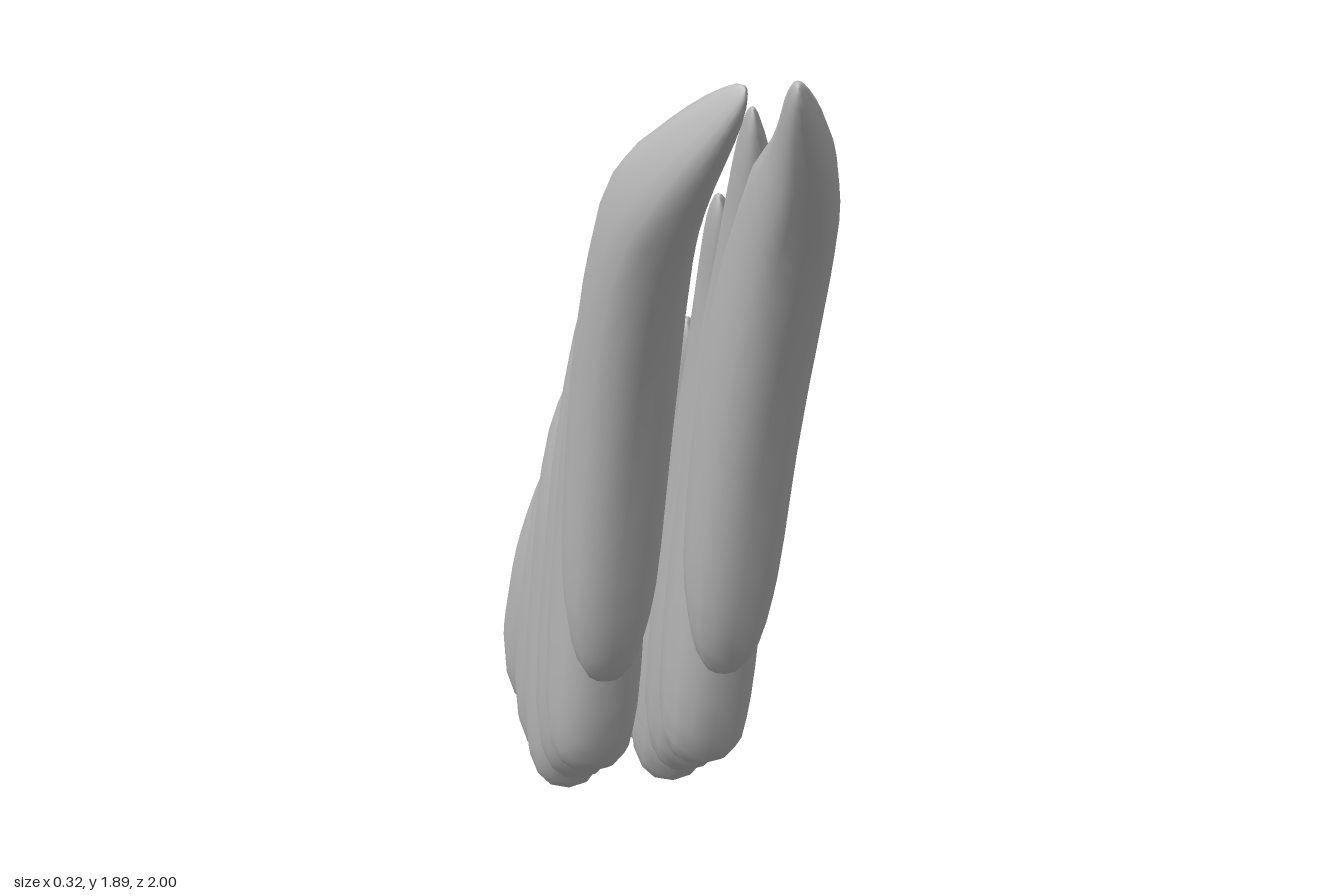
import * as THREE from 'three';

// Feathers of one wing, top tip to bottom tip: [z, y, half-width] per station
const FEATHERS = [
  [[1.0, 1.875, .03], [.8, 1.705, .06], [.62, 1.555, .09], [.37, 1.23, .115], [.19, .86, .095], [.1, .61, .06]],
  [[.63, 1.71, .035], [.43, 1.46, .075], [.2, 1.1, .12], [.03, .72, .115], [-.08, .45, .095], [-.17, .31, .05]],
  [[.36, 1.485, .035], [.2, 1.28, .075], [.03, .95, .12], [-.13, .6, .12], [-.25, .35, .1], [-.35, .185, .06]],
  [[.06, 1.17, .035], [-.08, .99, .075], [-.2, .78, .12], [-.35, .45, .13], [-.46, .2, .11], [-.57, .06, .07]],
  [[-.17, .95, .035], [-.27, .8, .075], [-.4, .58, .12], [-.53, .35, .13], [-.65, .15, .12], [-.77, .025, .07]],
  [[-.35, .81, .035], [-.47, .645, .08], [-.62, .425, .11], [-.78, .225, .13], [-.88, .1, .11], [-.97, .02, .09]],
];
// Sideways centre and half-thickness, shared by all feathers
const CENTRE = [.04, .075, .09, .09, .09, .09];
const THICK = [.015, .04, .06, .07, .07, .055];
const RINGS = 22, SIDES = 14;

const spow = (v, p) => Math.sign(v) * Math.abs(v) ** p;

// Lofts a feather through superelliptic sections, rounded at both ends
function featherGeometry(stations, side, lead) {
  const spine = new THREE.CatmullRomCurve3(
    stations.map(([z, y], i) => new THREE.Vector3(CENTRE[i] - (lead && i === 0 ? .01 : 0), y, z)));
  const size = new THREE.CatmullRomCurve3(
    stations.map(([, , w], i) => new THREE.Vector3(w, THICK[i], 0)));
  const pos = [], index = [];
  for (let i = 0; i <= RINGS; i++) {
    const t = (1 - Math.cos(Math.PI * i / RINGS)) / 2;
    const cap = Math.sqrt(Math.max(0, 1 - Math.abs(2 * t - 1) ** 9));
    const c = spine.getPoint(t), s = size.getPoint(t), d = spine.getTangent(t);
    const len = Math.hypot(d.y, d.z);
    for (let j = 0; j < SIDES; j++) {
      const a = j / SIDES * Math.PI * 2;
      const across = spow(Math.cos(a), .85) * s.x * cap;
      const out = spow(Math.sin(a), .85) * s.y * cap;
      pos.push(side * (c.x + out), c.y - across * d.z / len, c.z + across * d.y / len);
    }
  }
  for (let i = 0; i < RINGS; i++) for (let j = 0; j < SIDES; j++) {
    const k = (j + 1) % SIDES;
    const a = i * SIDES + j, b = i * SIDES + k, c = a + SIDES, e = b + SIDES;
    if (side > 0) index.push(a, b, c, b, e, c);
    else index.push(a, c, b, b, c, e);
  }
  const g = new THREE.BufferGeometry();
  g.setAttribute('position', new THREE.Float32BufferAttribute(pos, 3));
  g.setIndex(index);
  g.computeVertexNormals();
  return g;
}

export function createModel() {
  const model = new THREE.Group();
  model.name = 'foldedWings';
  const grey = new THREE.MeshStandardMaterial({ color: 0xcccccc });
  grey.name = 'feather grey';
  for (const side of [1, -1]) {
    const wing = new THREE.Group();
    wing.name = side > 0 ? 'leftWing' : 'rightWing';
    FEATHERS.forEach((stations, i) => {
      const feather = new THREE.Mesh(featherGeometry(stations, side, i === 0), grey);
      feather.name = `feather${i + 1}`;
      wing.add(feather);
    });
    model.add(wing);
  }
  return model;
}
